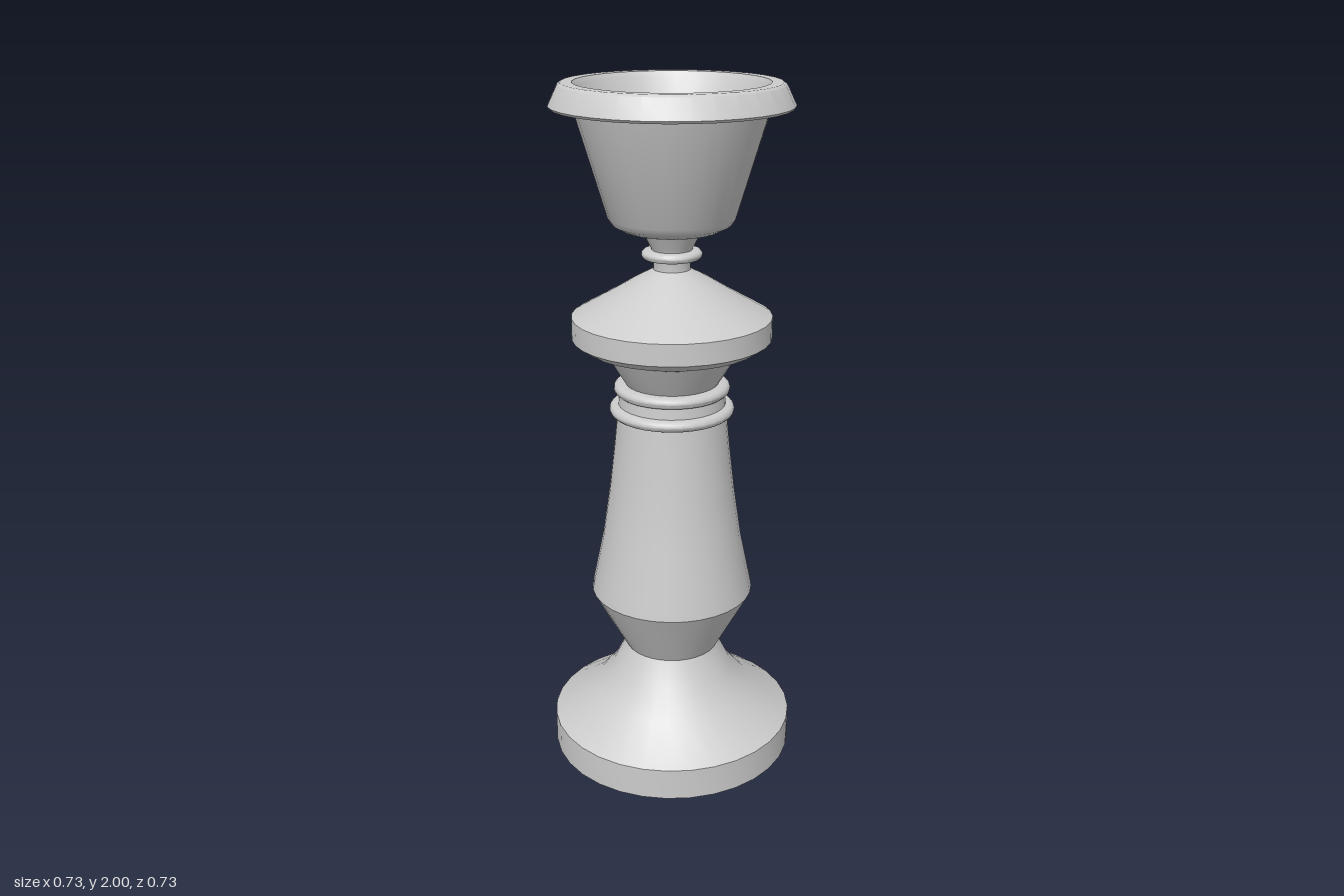
import * as THREE from 'three';
import { toCreasedNormals } from 'three/addons/utils/BufferGeometryUtils.js';

const SIDES = 32;

export function createModel() {
  const group = new THREE.Group();
  const material = new THREE.MeshStandardMaterial({ color: 0xcccccc, side: THREE.DoubleSide });

  // Turned part from [radius, height] pairs, with sharp bends kept crisp
  function turned(name, profile) {
    const points = profile.map(([r, y]) => new THREE.Vector2(r, y));
    const geometry = toCreasedNormals(new THREE.LatheGeometry(points, SIDES), 0.55);
    const mesh = new THREE.Mesh(geometry, material);
    mesh.name = name;
    group.add(mesh);
  }

  // Rounded bead around the stem
  function bead(name, inner, outer, y, half) {
    const profile = [[inner, y - half]];
    for (let i = 0; i <= 6; i++) {
      const a = -Math.PI / 2 + (i / 6) * Math.PI;
      profile.push([outer - half + Math.cos(a) * half, y + Math.sin(a) * half]);
    }
    profile.push([inner, y + half]);
    turned(name, profile);
  }

  // Hollow foot, open underneath
  turned('base', [[0.363, 0], [0.363, 0.095], [0.24, 0.18], [0.18, 0.25], [0.14, 0.33]]);

  // Tapered baluster stem
  turned('stem', [[0.14, 0.33], [0.24, 0.515], [0.237, 0.535], [0.205, 0.69], [0.183, 0.84],
    [0.168, 0.97], [0.157, 1.08], [0.15, 1.15]]);
  bead('lowerCollar', 0.14, 0.18, 1.087, 0.016);
  bead('upperCollar', 0.12, 0.167, 1.15, 0.016);

  // Flared disc and its sloping shoulder
  turned('disc', [[0.13, 1.16], [0.155, 1.2], [0.187, 1.255], [0.25, 1.277], [0.283, 1.3], [0.283, 1.362],
    [0.165, 1.43], [0.105, 1.467], [0.052, 1.495]]);

  // Slim neck below the cup
  turned('neck', [[0.052, 1.49], [0.052, 1.54], [0.06, 1.558], [0.085, 1.605]]);
  bead('neckBead', 0.05, 0.085, 1.537, 0.013);

  // Cup with an overhanging lip and a hollow inside
  turned('cup', [[0, 1.598], [0.085, 1.6], [0.135, 1.606], [0.165, 1.622], [0.177, 1.64],
    [0.265, 1.933], [0.325, 1.933], [0.331, 1.94], [0.305, 1.994], [0.296, 2],
    [0.265, 2], [0.255, 1.985], [0.185, 1.78], [0, 1.78]]);

  return group;
}
